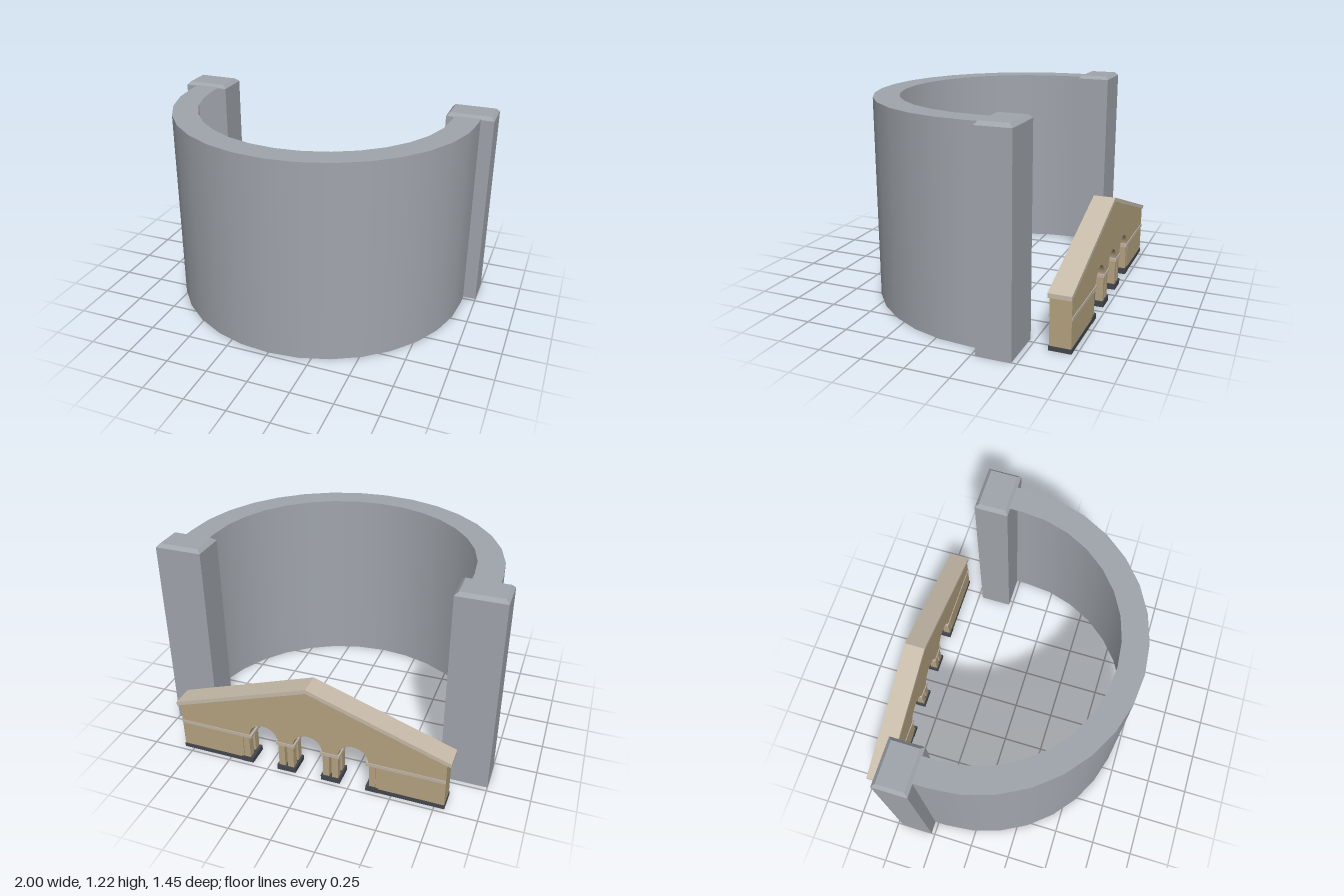
import * as THREE from 'three';

const mat = (name, color, side = THREE.FrontSide) => {
  const m = new THREE.MeshStandardMaterial({ color, side });
  m.name = name;
  return m;
};

export function createModel() {
  const model = new THREE.Group();
  const stone = mat('grey stone', 0xa1a6ad, THREE.DoubleSide);
  const tan = mat('tan plaster', 0xb6a481);
  const roofTone = mat('pale roof', 0xc8bcaa);
  const trim = mat('pale trim', 0xc0b4a8);
  const dark = mat('dark plinth', 0x43474d);

  const add = (parent, name, geo, material, x = 0, y = 0, z = 0) => {
    const m = new THREE.Mesh(geo, material);
    m.name = name;
    m.position.set(x, y, z);
    parent.add(m);
    return m;
  };
  // Box standing on y
  const box = (parent, name, material, w, h, d, x, y, z) =>
    add(parent, name, new THREE.BoxGeometry(w, h, d), material, x, y + h / 2, z);

  // Hollow half-round wall: outer shell, short straight ends and a flat top ring
  const R = 0.922, r = 0.77, H = 1.2, CZ = -0.2, END = 0.075;
  const wall = new THREE.Group();
  wall.name = 'curvedWall';
  model.add(wall);
  add(wall, 'wallShell', new THREE.CylinderGeometry(R, R, H, 16, 1, true, -Math.PI / 2, Math.PI),
    stone, 0, H / 2, CZ);
  for (const s of [-1, 1]) {
    const end = new THREE.PlaneGeometry(END, H).rotateY(s * Math.PI / 2);
    add(wall, 'wallEnd', end, stone, s * R, H / 2, CZ - END / 2);
  }
  const ringPts = [];
  const arc = (rad, dir) => {
    ringPts.push(new THREE.Vector2(-dir * rad, END));
    for (let i = 0; i <= 16; i++) {
      const a = Math.PI * i / 16;
      ringPts.push(new THREE.Vector2(-dir * rad * Math.cos(a), -rad * Math.sin(a)));
    }
    ringPts.push(new THREE.Vector2(dir * rad, END));
  };
  arc(R, 1);
  arc(r, -1);
  const ring = new THREE.ShapeGeometry(new THREE.Shape(ringPts)).rotateX(-Math.PI / 2);
  add(wall, 'wallTop', ring, stone, 0, H, CZ);

  // End pillars, open underneath, with bevelled caps
  const openBox = (w, h, d, inset, keepTop) => {
    const g = new THREE.BoxGeometry(w, h, d);
    const p = g.attributes.position;
    for (let i = 0; i < p.count; i++) {
      if (p.getY(i) > 0) {
        p.setX(i, p.getX(i) - Math.sign(p.getX(i)) * inset);
        p.setZ(i, p.getZ(i) - Math.sign(p.getZ(i)) * inset);
      }
    }
    const idx = Array.from(g.index.array);
    g.setIndex(idx.filter((_, i) => {
      const face = Math.floor(i / 6);
      return face !== 3 && (face !== 2 || keepTop);
    }));
    g.computeVertexNormals();
    return g;
  };
  for (const s of [-1, 1]) {
    add(model, 'pillar', openBox(0.28, 1.195, 0.2, 0, false), stone, s * 0.86, 0.5975, -0.372);
    add(model, 'pillarCap', openBox(0.28, 0.02, 0.2, 0.02, true), stone, s * 0.86, 1.205, -0.372);
  }

  // Gabled arcade behind the wall
  const arcade = new THREE.Group();
  arcade.name = 'arcade';
  arcade.position.z = -0.663;
  model.add(arcade);
  const HALF = 0.806, D = 0.12, SPRING = 0.2, STEP = 0.274, AR = 0.09, JAMB = 0.41;

  const face = new THREE.Shape();
  face.moveTo(-HALF, 0);
  face.lineTo(-JAMB, 0);
  face.lineTo(-JAMB, SPRING);
  for (const c of [-STEP, 0, STEP]) {
    face.lineTo(c - AR, SPRING);
    face.absarc(c, SPRING, AR, Math.PI, 0, true);
  }
  face.lineTo(JAMB, SPRING);
  face.lineTo(JAMB, 0);
  face.lineTo(HALF, 0);
  face.lineTo(HALF, 0.313);
  face.lineTo(0, 0.59);
  face.lineTo(-HALF, 0.313);
  const body = new THREE.ExtrudeGeometry(face, { depth: D, bevelEnabled: false, curveSegments: 10 });
  add(arcade, 'arcadeWall', body, tan, 0, 0, -D / 2);

  // Pitched roof slab
  const roof = new THREE.Shape([[-0.83, 0.305], [0, 0.59], [0.83, 0.305], [0.83, 0.33], [0, 0.615], [-0.83, 0.33]]
    .map(([x, y]) => new THREE.Vector2(x, y)));
  add(arcade, 'roof', new THREE.ExtrudeGeometry(roof, { depth: 0.13, bevelEnabled: false }), roofTone, 0, 0, -0.065);

  // Posts with plinth and capital; cols are the post offsets along x
  const pier = (x, w, cols) => {
    box(arcade, 'pierPlinth', dark, w, 0.033, 0.13, x, 0.002, 0);
    box(arcade, 'pierCapital', trim, w, 0.02, 0.13, x, 0.185, 0);
    for (const dx of cols) for (const dz of [-0.035, 0.035])
      box(arcade, 'pierPost', tan, 0.038, 0.19, 0.045, x + dx, 0, dz);
  };
  for (const s of [-1, 1]) {
    pier(s * STEP / 2, 0.115, [-0.027, 0.027]);
    pier(s * 0.388, 0.075, [0]);
    // Side wall plinth and string courses
    const len = HALF - JAMB, mid = s * (HALF + JAMB) / 2;
    box(arcade, 'wallPlinth', dark, len + 0.006, 0.026, D + 0.006, mid, 0.002, 0);
    box(arcade, 'wallFooting', tan, len - 0.04, 0.01, D - 0.04, mid, 0, 0);
    for (const f of [-1, 1])
      box(arcade, 'stringCourse', trim, len, 0.02, 0.004, mid, 0.185, f * (D / 2 + 0.002));
  }
  return model;
}
